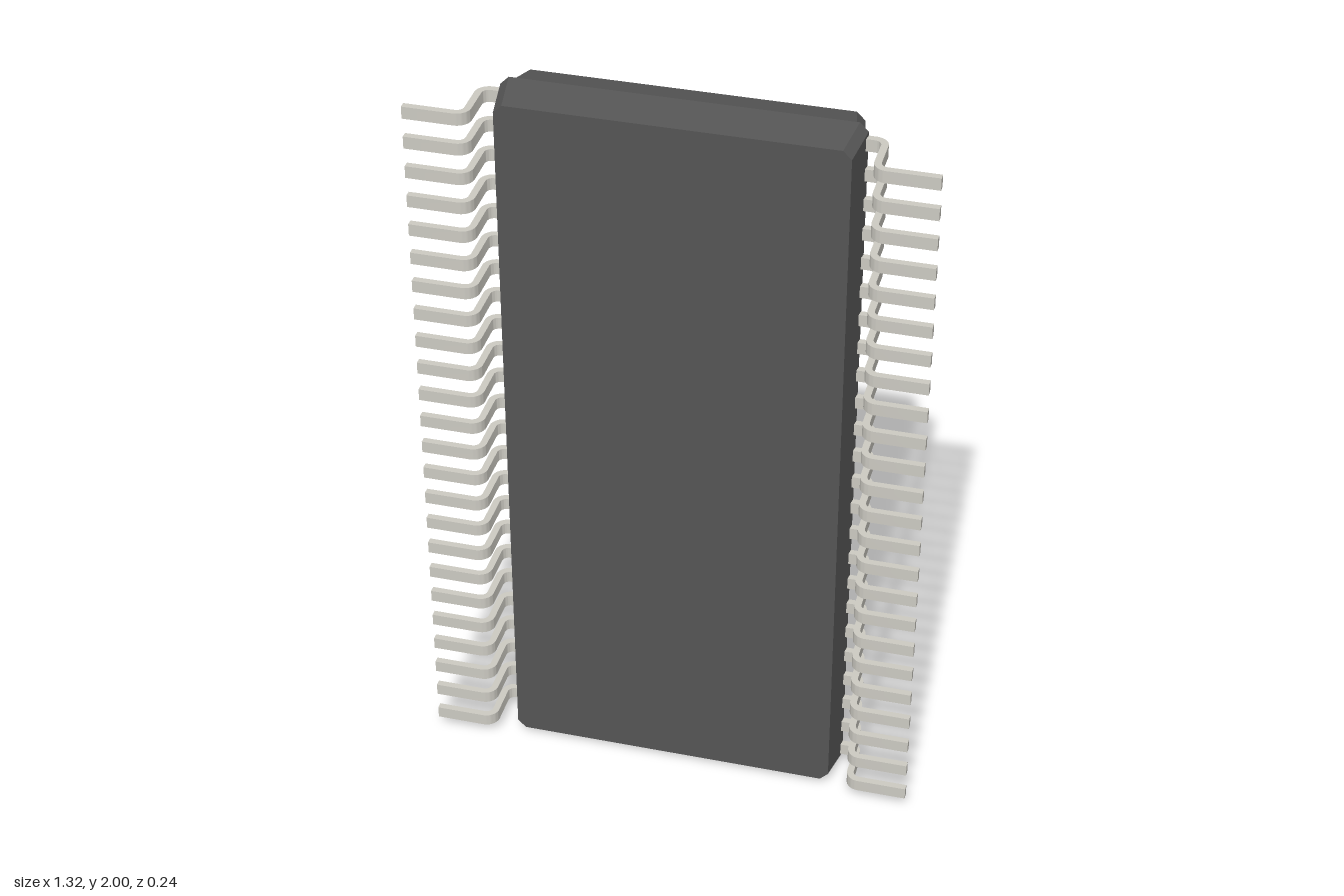
import * as THREE from 'three';
import { toCreasedNormals } from 'three/addons/utils/BufferGeometryUtils.js';

const BODY = new THREE.MeshStandardMaterial({ color: 0x555555, flatShading: true });
const METAL = new THREE.MeshStandardMaterial({ color: 0xcccac2 });
const MARK = { x: 0.24, y: 0.8, r: 0.042, depth: 0.015 };
const BACK_Z = -0.123;

// Rectangle outline with chamfered corners, counter-clockwise
function outline(w, h, c = 0.022) {
  return [[w, -h + c], [w, h - c], [w - c, h], [-w + c, h], [-w, h - c], [-w, -h + c], [-w + c, -h], [w - c, -h]]
    .map(([x, y]) => new THREE.Vector2(x, y));
}

// Side walls through a list of [halfWidth, halfHeight, z] sections, front to back
function wallGeometry(sections) {
  const pos = [];
  const rings = sections.map(([w, h, z]) => outline(w, h).map(p => [p.x, p.y, z]));
  for (let s = 0; s < rings.length - 1; s++) {
    for (let i = 0; i < 8; i++) {
      const j = (i + 1) % 8, f = rings[s], b = rings[s + 1];
      pos.push(...f[i], ...b[i], ...b[j], ...f[i], ...b[j], ...f[j]);
    }
  }
  const geo = new THREE.BufferGeometry();
  geo.setAttribute('position', new THREE.Float32BufferAttribute(pos, 3));
  geo.computeVertexNormals();
  return geo;
}

// Gull-wing lead: bent strip profile in x and depth, extruded along y
function leadGeometry(height) {
  const s = new THREE.Shape();
  const top = -0.004, low = -0.082, P = Math.PI;
  s.moveTo(0.42, 0.032);
  s.lineTo(0.474, 0.032);
  s.absarc(0.474, top, 0.036, P / 2, 0, true);
  s.lineTo(0.51, low);
  s.absarc(0.528, low, 0.018, P, 1.5 * P, false);
  s.lineTo(0.658, -0.1);
  s.lineTo(0.658, -0.118);
  s.lineTo(0.528, -0.118);
  s.absarc(0.528, low, 0.036, 1.5 * P, P, true);
  s.lineTo(0.492, top);
  s.absarc(0.474, top, 0.018, 0, P / 2, false);
  s.lineTo(0.42, 0.014);
  const geo = new THREE.ExtrudeGeometry(s, { depth: height, bevelEnabled: false, curveSegments: 8 });
  geo.translate(0, 0, -height / 2).rotateX(-Math.PI / 2);
  return toCreasedNormals(geo, 0.6);
}

function add(parent, name, geo, mat) {
  const mesh = new THREE.Mesh(geo, mat);
  mesh.name = name;
  parent.add(mesh);
  return mesh;
}

export function createModel() {
  const model = new THREE.Group();
  model.name = 'chipPackage';
  const chip = new THREE.Group();
  chip.name = 'chip';
  chip.position.y = 1;
  model.add(chip);

  // Moulded body: two tapered halves meeting at a small ledge
  const body = new THREE.Group();
  body.name = 'body';
  chip.add(body);
  add(body, 'bodyWalls', wallGeometry([
    [0.439, 0.984, 0.081], [0.455, 1, -0.032], [0.447, 0.992, -0.032], [0.429, 0.975, BACK_Z],
  ]), BODY);
  add(body, 'frontFace', new THREE.ShapeGeometry(new THREE.Shape(outline(0.439, 0.984))), BODY).position.z = 0.081;

  // Back face with a round hole for the pin-one mark (turned to face -z)
  const back = new THREE.Shape(outline(0.429, 0.975));
  back.holes.push(new THREE.Path().absarc(-MARK.x, MARK.y, MARK.r, 0, Math.PI * 2, true));
  const backFace = add(body, 'backFace', new THREE.ShapeGeometry(back, 32), BODY);
  backFace.position.z = BACK_Z;
  backFace.rotation.y = Math.PI;

  // Recessed mark: wall and floor
  const wallMat = new THREE.MeshStandardMaterial({ color: 0x555555, side: THREE.DoubleSide });
  const wall = new THREE.CylinderGeometry(MARK.r, MARK.r, MARK.depth, 32, 1, true).rotateX(Math.PI / 2);
  add(body, 'markWall', wall, wallMat).position.set(MARK.x, MARK.y, BACK_Z + MARK.depth / 2);
  const floor = add(body, 'markFloor', new THREE.CircleGeometry(MARK.r, 32), METAL);
  floor.position.set(MARK.x, MARK.y, BACK_Z + MARK.depth);
  floor.rotation.y = Math.PI;

  // Two rows of leads, the second turned half way round the z axis
  const count = 24, span = 1.902, lead = leadGeometry(0.033);
  for (const side of ['left', 'right']) {
    const row = new THREE.Group();
    row.name = side + 'Leads';
    if (side === 'right') row.rotation.z = Math.PI;
    for (let i = 0; i < count; i++) {
      add(row, 'lead', lead, METAL).position.y = (i / (count - 1) - 0.5) * span;
    }
    chip.add(row);
  }
  return model;
}
